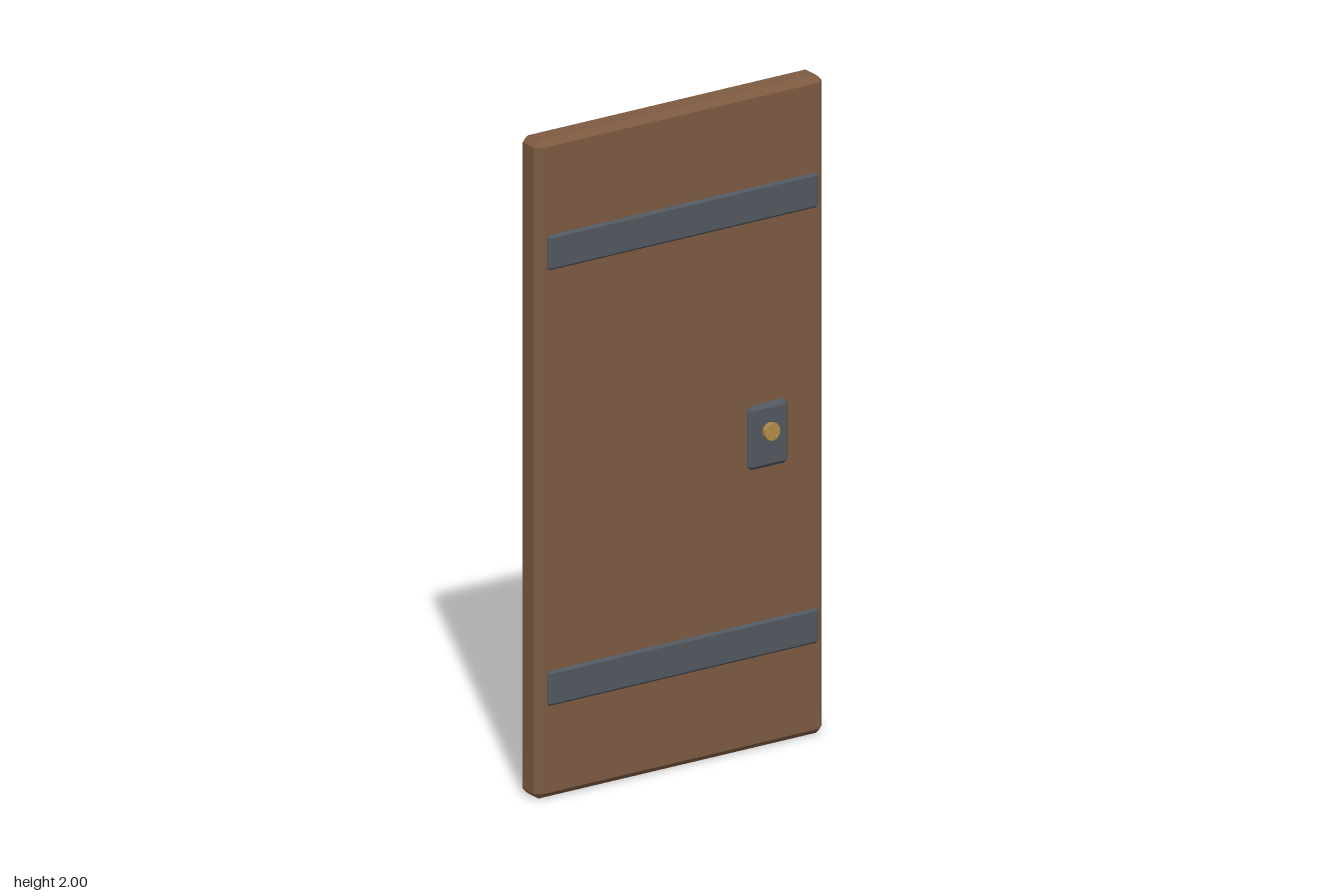
import * as THREE from 'three';
import { ConvexGeometry } from 'three/addons/geometries/ConvexGeometry.js';

const material = (name, color) => {
  const m = new THREE.MeshStandardMaterial({ color, flatShading: true });
  m.name = name;
  return m;
};

// Box with all twelve edges cut at 45 degrees by b
function chamferBox(w, h, d, b) {
  const half = [w / 2, h / 2, d / 2];
  const points = [];
  for (const sx of [-1, 1]) for (const sy of [-1, 1]) for (const sz of [-1, 1]) {
    const sign = [sx, sy, sz];
    for (let face = 0; face < 3; face++) {
      const p = half.map((v, i) => sign[i] * (i === face ? v : v - b));
      points.push(new THREE.Vector3(...p));
    }
  }
  return new ConvexGeometry(points);
}

export function createModel() {
  const wood = material('wood', 0x7d5a41);
  const iron = material('iron', 0x51585f);
  const brass = material('brass', 0xb48c46);

  const group = new THREE.Group();
  group.name = 'door';
  const add = (name, geometry, mat, x, y, z) => {
    const mesh = new THREE.Mesh(geometry, mat);
    mesh.name = name;
    mesh.position.set(x, y, z);
    group.add(mesh);
    return mesh;
  };

  // Door slab
  add('doorPanel', chamferBox(1, 2, 0.09, 0.018), wood, 0, 1, -0.021);

  // Iron straps across the front
  const strap = chamferBox(0.94, 0.106, 0.016, 0.007);
  add('lowerStrap', strap, iron, 0, 0.339, 0.033);
  add('upperStrap', strap, iron, 0, 1.663, 0.033);

  // Lock plate with its round boss
  add('lockPlate', chamferBox(0.14, 0.196, 0.028, 0.013), iron, 0.29, 0.957, 0.038);
  const knob = new THREE.CylinderGeometry(0.027, 0.027, 0.016, 10);
  add('knob', knob, brass, 0.29, 0.972, 0.058).rotation.x = Math.PI / 2;

  return group;
}
